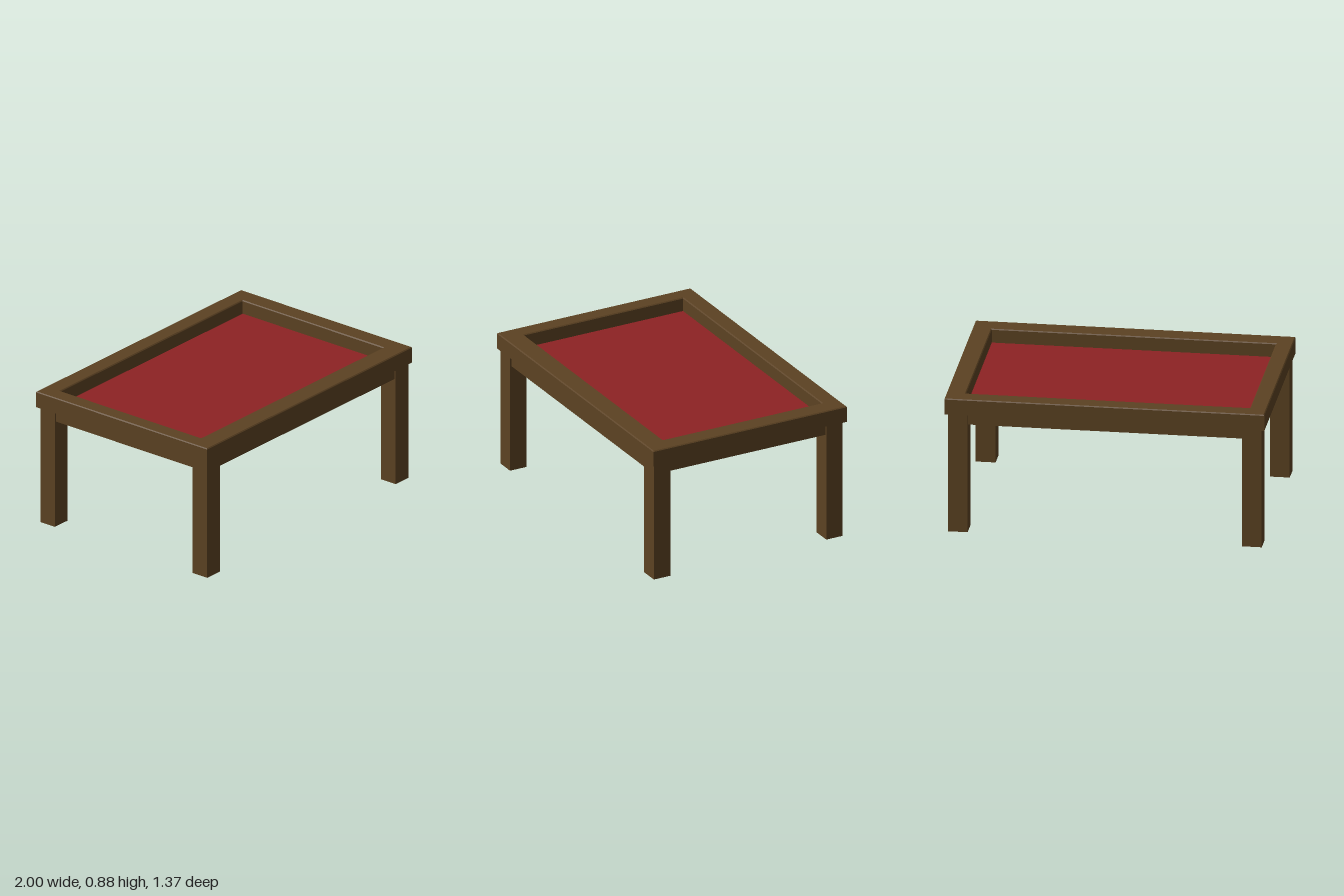
import * as THREE from 'three';

const wood = new THREE.MeshStandardMaterial({ color: 0x5c4222 });
wood.name = 'darkWood';
const felt = new THREE.MeshStandardMaterial({ color: 0x8e2224 });
felt.name = 'redFelt';

// Box given by its lower and upper limits on each axis
function block(name, [x0, x1], [y0, y1], [z0, z1], material) {
  const geometry = new THREE.BoxGeometry(x1 - x0, y1 - y0, z1 - z0);
  const mesh = new THREE.Mesh(geometry, material);
  mesh.position.set((x0 + x1) / 2, (y0 + y1) / 2, (z0 + z1) / 2);
  mesh.name = name;
  return mesh;
}

// Rectangular frame with slightly chamfered upper edges, lofted through nested rectangles
function frameGeometry(outer, inner, y0, y1, c) {
  const ring = ([xa, xb, za, zb], grow, y) => [
    [xa - grow, y, zb + grow], [xb + grow, y, zb + grow],
    [xb + grow, y, za - grow], [xa - grow, y, za - grow],
  ];
  const rings = [
    ring(outer, 0, y0), ring(outer, 0, y1 - c), ring(outer, -c, y1),
    ring(inner, c, y1), ring(inner, 0, y1 - c), ring(inner, 0, y0),
  ];
  const points = [];
  rings.forEach((a, i) => {
    const b = rings[(i + 1) % rings.length];
    for (let k = 0; k < 4; k++) {
      const n = (k + 1) % 4;
      points.push(...a[k], ...a[n], ...b[n], ...a[k], ...b[n], ...b[k]);
    }
  });
  const geometry = new THREE.BufferGeometry();
  geometry.setAttribute('position', new THREE.Float32BufferAttribute(points, 3));
  geometry.computeVertexNormals();
  return geometry;
}

export function createModel() {
  const table = new THREE.Group();
  table.name = 'table';

  // Raised rim around the playing surface
  const opening = [-0.895, 0.88, -0.573, 0.55];
  const rim = new THREE.Mesh(
    frameGeometry([-1, 1, -0.685, 0.685], opening, 0.78, 0.885, 0.006), wood);
  rim.name = 'rim';
  table.add(rim);

  // Sunken board and its felt
  const [xa, xb, za, zb] = opening;
  table.add(block('board', [xa, xb], [0.78, 0.79], [za, zb], wood));
  table.add(block('feltSurface', [xa, xb], [0.79, 0.795], [za, zb], felt));

  // Four square legs
  const legX = [[-0.981, -0.857], [0.857, 0.981]];
  const legZ = [[-0.664, -0.548], [0.555, 0.671]];
  for (const x of legX) for (const z of legZ) table.add(block('leg', x, [0, 0.78], z, wood));

  // Thin apron boards between the legs
  const apronY = [0.71, 0.78];
  const inset = 0.01, thick = 0.03;
  const bands = (sides) => [
    [sides[0][0] + inset, sides[0][0] + inset + thick],
    [sides[1][1] - inset - thick, sides[1][1] - inset],
  ];
  for (const z of bands(legZ)) table.add(block('longApron', [-0.857, 0.857], apronY, z, wood));
  for (const x of bands(legX)) table.add(block('shortApron', x, apronY, [-0.548, 0.555], wood));

  return table;
}
